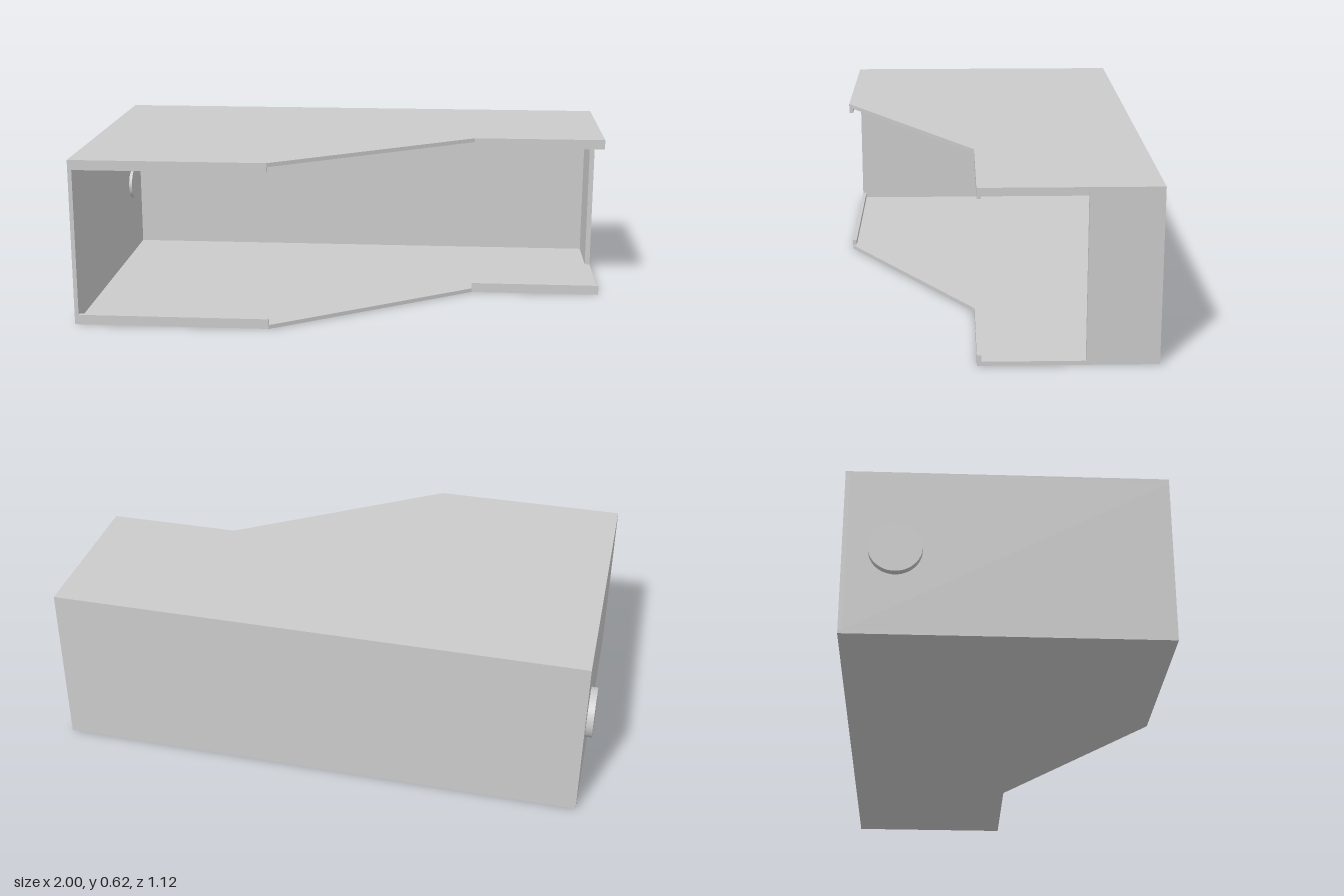
import * as THREE from 'three';

const H = 0.625, T = 0.015, LIP = 0.022;
const X0 = -0.975, X1 = 1, BACK = -0.56, FRONT = 0.56, STEP = 0.06;

export function createModel() {
  const model = new THREE.Group();
  const material = new THREE.MeshStandardMaterial({ color: 0xcccccc });

  const add = (name, geometry) => {
    const mesh = new THREE.Mesh(geometry, material);
    mesh.name = name;
    model.add(mesh);
    return mesh;
  };
  // Box given by its lowest and highest corners
  const box = (name, x0, x1, y0, y1, z0, z1) =>
    add(name, new THREE.BoxGeometry(x1 - x0, y1 - y0, z1 - z0))
      .position.set((x0 + x1) / 2, (y0 + y1) / 2, (z0 + z1) / 2);
  // Cylinder lying along x
  const disc = (name, x0, x1, radius) => {
    const mesh = add(name, new THREE.CylinderGeometry(radius, radius, x1 - x0, 48).rotateZ(Math.PI / 2));
    mesh.position.set((x0 + x1) / 2, 0.315, -0.38);
  };

  // Floor and roof plates: wide on one side, cut back along a slant
  const outline = [[X0, BACK], [X0, FRONT], [-0.25, FRONT], [0.5, STEP], [X1, STEP], [X1, BACK]];
  const plate = new THREE.ExtrudeGeometry(
    new THREE.Shape(outline.map(([x, z]) => new THREE.Vector2(x, -z))),
    { depth: T, bevelEnabled: false }
  ).rotateX(-Math.PI / 2);
  add('floor', plate);
  add('roof', plate).position.y = H - T;

  // Walls, with the left wall only covering the rear
  box('backWall', X0, X1, T, H - T, BACK, BACK + T);
  box('rightWall', X0, X0 + T, T, H - T, BACK + T, FRONT);
  box('leftWall', X1 - 0.02, X1, T, H - T, BACK + T, -0.31);

  // Lips folded in along the straight front edges
  for (const [side, y] of [['lower', T], ['upper', H - T - LIP]]) {
    box(side + 'RightLip', X0 + T, -0.25, y, y + LIP, FRONT - T, FRONT);
    box(side + 'LeftLip', 0.5, X1, y, y + LIP, STEP - T, STEP);
  }

  // Round button on the right wall with its inner stub
  disc('button', -1, X0, 0.092);
  disc('buttonStub', X0 + T, -0.948, 0.06);

  return model;
}
